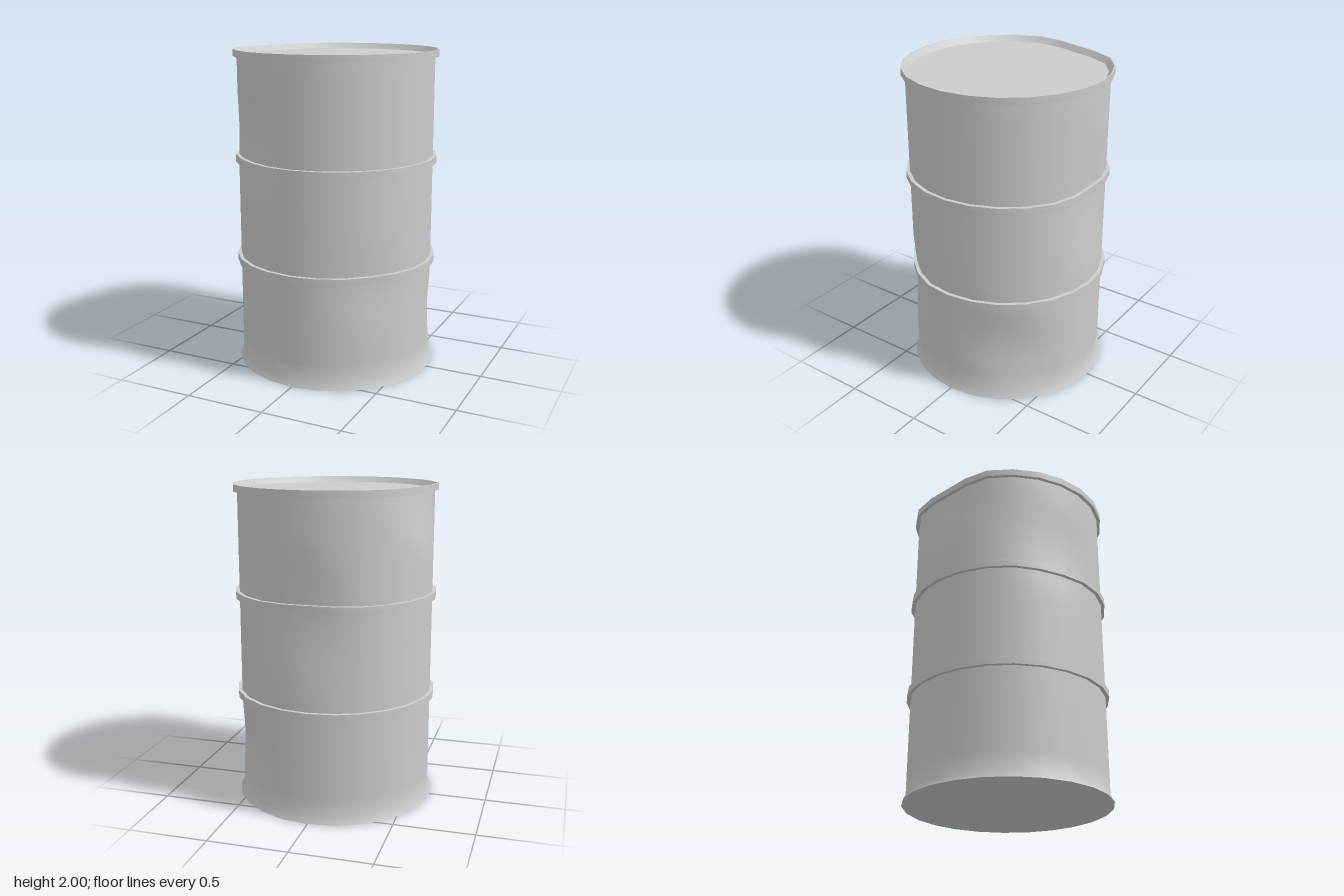
import * as THREE from 'three';
import { toCreasedNormals } from 'three/addons/utils/BufferGeometryUtils.js';

const SIDES = 24;
const BODY = 0.614, OUTER = 0.637;

// Dents: centre, reach sideways, reach up and down, depth
const dents = [
  { at: [-0.61, 2.0, -0.17], wide: 0.36, tall: 0.42, depth: 0.055 },
  { at: [0, 1.25, -0.62], wide: 0.3, tall: 0.5, depth: 0.035 },
  { at: [-0.36, 1.5, 0.5], wide: 0.36, tall: 0.4, depth: 0.028 },
  { at: [0.5, 0.36, -0.36], wide: 0.35, tall: 0.34, depth: 0.035 },
  { at: [0.45, 0.62, 0.42], wide: 0.3, tall: 0.3, depth: 0.018 },
];

// Push vertices towards the axis with a smooth falloff around each dent
function applyDents(geometry) {
  const p = geometry.attributes.position;
  for (let i = 0; i < p.count; i++) {
    const x = p.getX(i), y = p.getY(i), z = p.getZ(i);
    const r = Math.hypot(x, z);
    if (r < 0.5) continue;
    let push = 0;
    for (const { at, wide, tall, depth } of dents) {
      const side = Math.hypot(x - at[0], z - at[2]) / wide;
      const d = Math.hypot(side, (y - at[1]) / tall);
      if (d < 1) push += depth * (1 - d * d) ** 2;
    }
    p.setX(i, x * (1 - push / r));
    p.setZ(i, z * (1 - push / r));
  }
  return geometry;
}

// Turn a profile of [radius, height] points, dent it and keep its edges sharp
function turned(name, profile, material) {
  const points = profile.map(([r, y]) => new THREE.Vector2(r, y));
  const geometry = applyDents(new THREE.LatheGeometry(points, SIDES));
  const mesh = new THREE.Mesh(toCreasedNormals(geometry, 0.65), material);
  mesh.name = name;
  return mesh;
}

export function createModel() {
  const group = new THREE.Group();
  group.name = 'drum';
  const metal = new THREE.MeshStandardMaterial({ color: 0xcccccc });

  // Wall with a flared foot, in enough rows to carry the dents
  const wall = [[OUTER, 0], [BODY, 0.045]];
  const rows = 18;
  for (let i = 1; i <= rows; i++) wall.push([BODY, 0.045 + (1.915 * i) / rows]);
  group.add(turned('wall', wall, metal));

  // Flat underside
  group.add(turned('base', [[0, 0], [OUTER, 0]], metal));

  // Two raised hoops
  for (const [name, y] of [['lowerHoop', 0.682], ['upperHoop', 1.322]]) {
    const h = 0.023;
    group.add(turned(name, [[BODY - 0.01, y - h], [OUTER, y - h], [OUTER, y + h], [BODY - 0.01, y + h]], metal));
  }

  // Rim sloping inwards to the sunken lid
  group.add(turned('rim', [[BODY - 0.01, 1.957], [OUTER, 1.957], [OUTER, 2], [0.628, 2], [0.6, 1.965]], metal));
  group.add(turned('lid', [[0.6, 1.965], [0, 1.965]], metal));

  return group;
}
